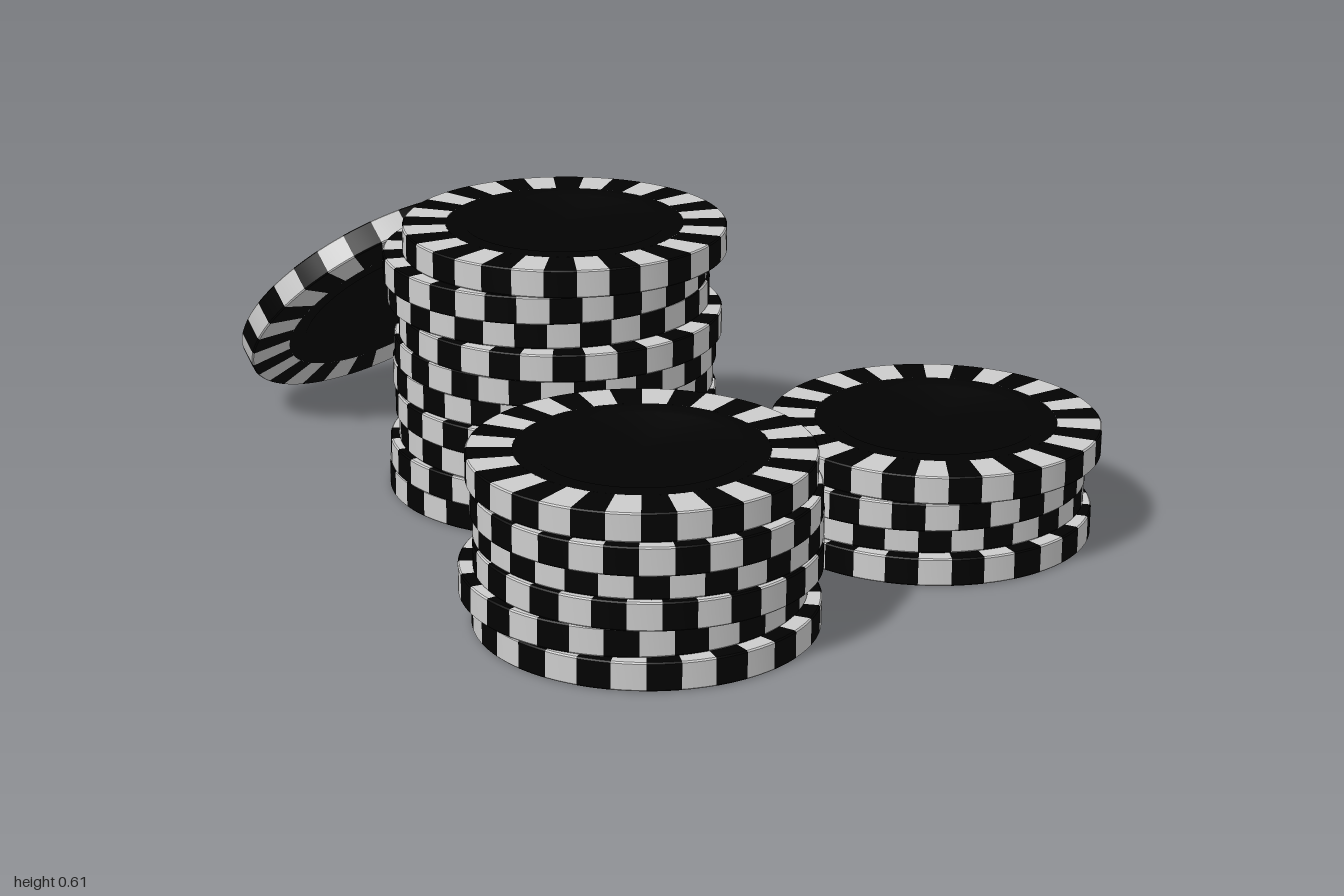
import * as THREE from 'three';
import { mergeGeometries, toCreasedNormals } from 'three/addons/utils/BufferGeometryUtils.js';

const R = 0.355, T = 0.061, H = T / 2, INNER = 0.26, PAIRS = 16;
const dark = new THREE.MeshStandardMaterial({ color: 0x020202 });
const light = new THREE.MeshStandardMaterial({ color: 0xcccccc });

const lathe = (pts, segments, start = 0, length = Math.PI * 2) =>
  toCreasedNormals(new THREE.LatheGeometry(pts.map(([x, y]) => new THREE.Vector2(x, y)), segments, start, length), 0.6);

// every second wedge of the rim, wrapping over both faces
function rimGeometry(offset) {
  const profile = [[INNER, -H], [R - 0.003, -H], [R, -H + 0.003], [R, H - 0.003], [R - 0.003, H], [INNER, H]];
  const step = Math.PI / PAIRS;
  const wedges = [];
  for (let i = 0; i < PAIRS; i++) wedges.push(lathe(profile, 4, (2 * i + offset - 0.5) * step, step));
  return mergeGeometries(wedges);
}

const lightRim = rimGeometry(0);
const darkRim = rimGeometry(1);
// centre with a shallow recess on both faces
const centreFaces = mergeGeometries([
  lathe([[0, -H + 0.003], [0.215, -H + 0.003], [0.22, -H], [INNER, -H]], 64),
  lathe([[INNER, H], [0.22, H], [0.215, H - 0.003], [0, H - 0.003]], 64),
]);

function makeChip(name) {
  const chip = new THREE.Group();
  chip.name = name;
  const parts = [['darkEdgeSpots', darkRim, dark], ['lightEdgeSpots', lightRim, light], ['centreFaces', centreFaces, dark]];
  for (const [part, geometry, material] of parts) {
    const mesh = new THREE.Mesh(geometry, material);
    mesh.name = part;
    chip.add(mesh);
  }
  return chip;
}

// turn of the top chip, and chip centres [x, z] from the bottom up
const stacks = {
  rightStack: { turn: 0, centres: [[-0.403, 0.635], [-0.41, 0.6], [-0.395, 0.63], [-0.387, 0.62], [-0.41, 0.642], [-0.403, 0.618]] },
  leftStack: { turn: 0, centres: [[0.4, 0.61], [0.41, 0.577], [0.387, 0.6], [0.41, 0.622]] },
  backStack: { turn: -0.1, centres: [[-0.075, -0.112], [-0.08, -0.1], [-0.07, -0.08], [-0.08, -0.078], [-0.07, -0.1],
    [-0.075, -0.085], [-0.075, -0.067], [-0.07, -0.115], [-0.09, -0.103], [-0.06, -0.07]] },
};

export function createModel() {
  const model = new THREE.Group();
  model.name = 'chipStacks';
  for (const [name, { turn, centres }] of Object.entries(stacks)) {
    const stack = new THREE.Group();
    stack.name = name;
    centres.forEach(([x, z], i) => {
      const chip = makeChip('chip' + (i + 1));
      chip.position.set(x, H + i * T, z);
      // each chip is turned against the one above
      chip.rotation.y = turn + (centres.length - 1 - i) * 0.55;
      stack.add(chip);
    });
    model.add(stack);
  }

  // chip leaning against the back stack
  const leaning = makeChip('leaningChip');
  leaning.position.set(-0.08, 0.285, -0.735);
  leaning.rotation.x = -0.82;
  model.add(leaning);
  return model;
}
